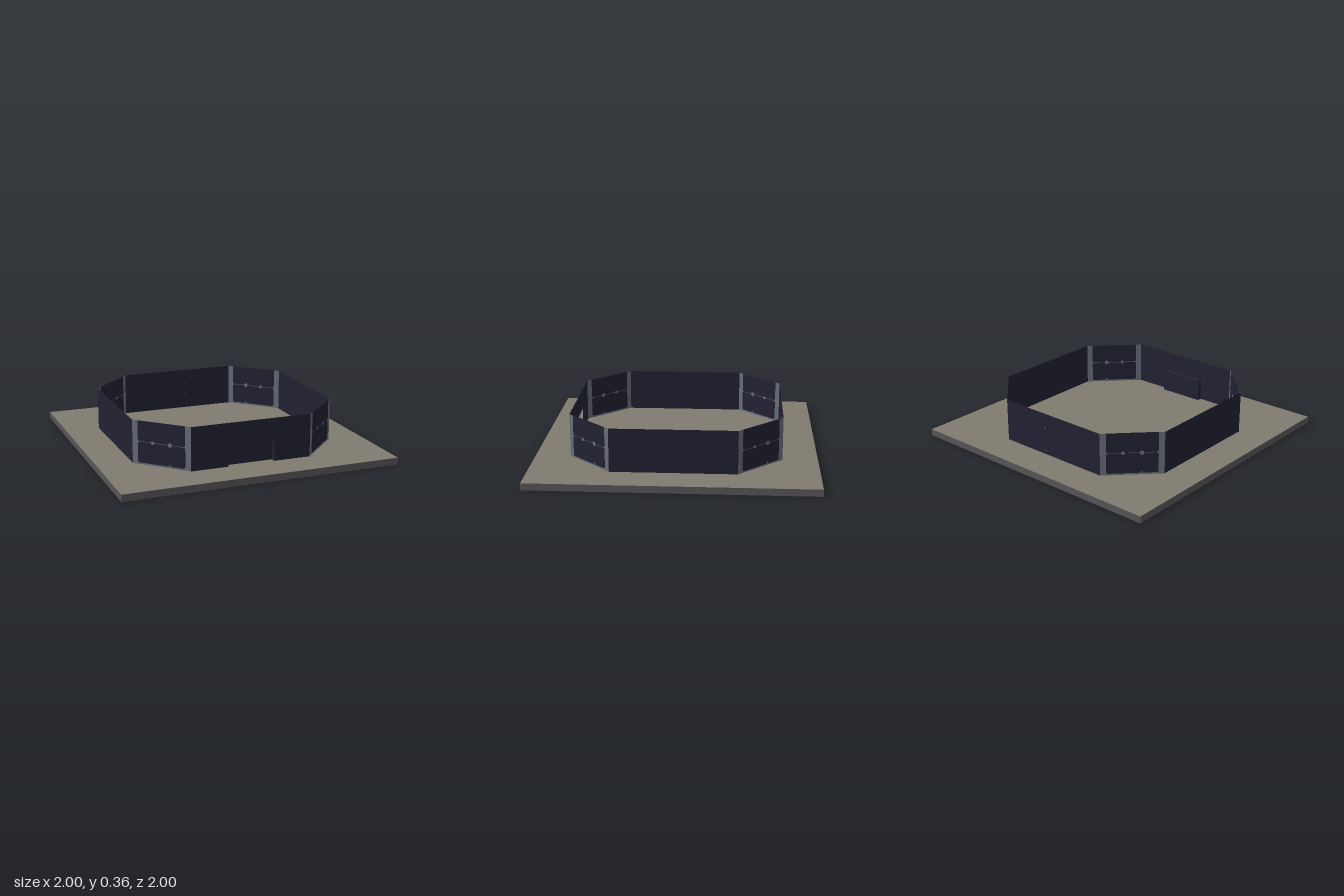
import * as THREE from 'three';

const mat = (name, color, side = THREE.FrontSide) => {
  const m = new THREE.MeshStandardMaterial({ color, side });
  m.name = name;
  return m;
};

const FLOOR = 0.05, TOP = 0.36, R = 0.75, C = 0.44; // wall levels, octagon reach, corner start
const DOOR_W = 0.17, DOOR_H = 0.21, DOOR_D = 0.035;

export function createModel() {
  const group = new THREE.Group();
  const stone = mat('floor stone', 0x807b70);
  const edge = mat('slab edge grey', 0x585558);
  const navy = mat('dark navy', 0x212133, THREE.DoubleSide);
  const steel = mat('steel grey', 0x686c77, THREE.DoubleSide);

  const add = (name, geo, material, parent = group, x = 0, y = 0, z = 0) => {
    const m = new THREE.Mesh(geo, material);
    m.name = name;
    m.position.set(x, y, z);
    parent.add(m);
    return m;
  };
  const polygon = pts => new THREE.Shape(pts.map(p => new THREE.Vector2(...p)));

  // Square base slab with a differently coloured top
  add('baseSlab', new THREE.BoxGeometry(2, FLOOR, 2),
    [edge, edge, stone, edge, edge, edge], group, 0, FLOOR / 2, 0);

  // Front wall with doorway
  const front = polygon([[-C, FLOOR], [-DOOR_W, FLOOR], [-DOOR_W, DOOR_H], [DOOR_W, DOOR_H],
    [DOOR_W, FLOOR], [C, FLOOR], [C, TOP], [-C, TOP]]);
  add('frontWall', new THREE.ShapeGeometry(front), navy, group, 0, 0, R);

  // Recessed door, open on top
  const h = DOOR_H - FLOOR, midY = FLOOR + h / 2;
  add('doorPanel', new THREE.PlaneGeometry(2 * DOOR_W, h), navy, group, 0, midY, R - DOOR_D);
  for (const s of [-1, 1]) {
    add('doorCheek', new THREE.PlaneGeometry(DOOR_D, h), navy, group,
      s * DOOR_W, midY, R - DOOR_D / 2).rotation.y = Math.PI / 2;
  }

  // Plain walls on the other three sides
  const plain = new THREE.PlaneGeometry(2 * C, TOP - FLOOR);
  ['leftWall', 'backWall', 'rightWall'].forEach((name, i) => {
    const a = (i + 1) * Math.PI / 2;
    add(name, plain, navy, group, R * Math.sin(a), (TOP + FLOOR) / 2, R * Math.cos(a)).rotation.y = a;
  });

  // Small fixings in the back wall
  for (const y of [0.08, 0.16, 0.25]) {
    add('backWallFixing', new THREE.BoxGeometry(0.008, 0.008, 0.004), steel, group, 0.065, y, -R);
  }

  // Corner panels: steel backing, two dark sheets with rounded corners along the seam
  const len = (R - C) * Math.SQRT2, hw = len / 2 - 0.042;
  const seam = 0.213, gap = 0.002, r = 0.016;
  const sheet = (y0, y1, r0, r1) => {
    const s = new THREE.Shape();
    s.moveTo(-hw + r0, y0);
    s.lineTo(hw - r0, y0);
    s.quadraticCurveTo(hw, y0, hw, y0 + r0);
    s.lineTo(hw, y1 - r1);
    s.quadraticCurveTo(hw, y1, hw - r1, y1);
    s.lineTo(-hw + r1, y1);
    s.quadraticCurveTo(-hw, y1, -hw, y1 - r1);
    s.lineTo(-hw, y0 + r0);
    s.quadraticCurveTo(-hw, y0, -hw + r0, y0);
    return new THREE.ExtrudeGeometry(s, { depth: 0.004, bevelEnabled: false, curveSegments: 4 })
      .translate(0, 0, -0.002);
  };
  const lower = sheet(FLOOR + 0.012, seam - gap, r, r);
  const upper = sheet(seam + gap, TOP, r, 0.001);
  const backing = new THREE.PlaneGeometry(len, TOP - FLOOR);
  const bolt = size => new THREE.CylinderGeometry(size, size, 0.006, 8).rotateX(Math.PI / 2);

  for (let i = 0; i < 4; i++) {
    const corner = new THREE.Group();
    corner.name = 'cornerPanel';
    const a = Math.PI / 4 + i * Math.PI / 2, d = (R + C) / Math.SQRT2;
    corner.position.set(d * Math.sin(a), 0, d * Math.cos(a));
    corner.rotation.y = a;
    add('steelBacking', backing, steel, corner, 0, (TOP + FLOOR) / 2, 0);
    add('lowerSheet', lower, navy, corner);
    add('upperSheet', upper, navy, corner);
    add('largeBolt', bolt(0.017), steel, corner, 0.064, seam, 0);
    add('smallBolt', bolt(0.013), steel, corner, -0.064, seam, 0);
    add('footNotch', new THREE.BoxGeometry(0.01, 0.016, 0.006), steel, corner, 0.064, FLOOR + 0.018, 0);
    group.add(corner);
  }
  return group;
}
